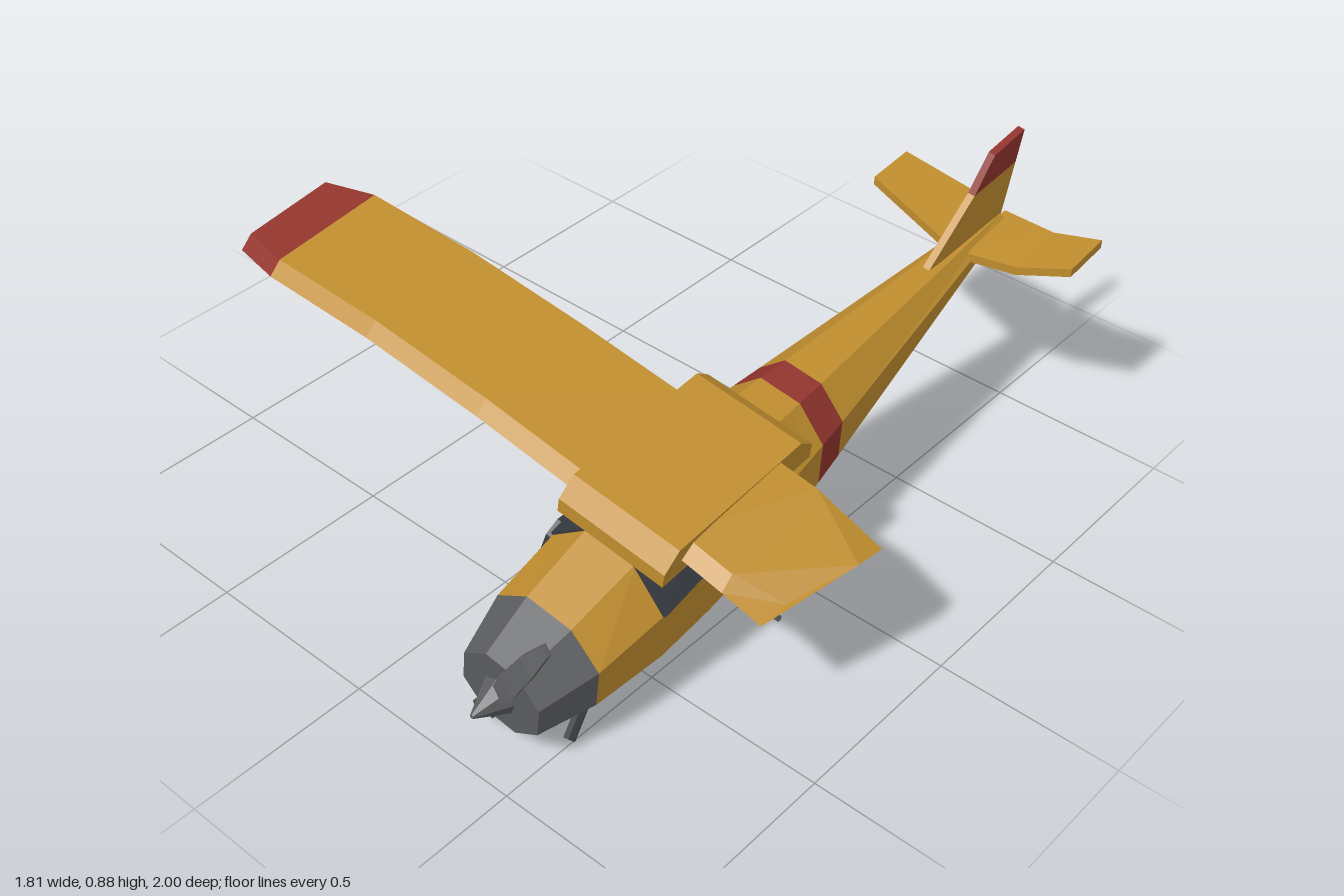
import * as THREE from 'three';

const mat = (name, color) => {
  const m = new THREE.MeshStandardMaterial({ color, flatShading: true });
  m.name = name;
  return m;
};
const V = (x, y, z) => new THREE.Vector3(x, y, z);

// Closed solid through rings; each ring runs counter-clockwise seen from the first end.
function loft(name, rings, material) {
  const pos = [];
  const tri = (...pts) => pts.forEach((p) => pos.push(p.x, p.y, p.z));
  const n = rings[0].length;
  for (let r = 0; r < rings.length - 1; r++) {
    const a = rings[r], b = rings[r + 1];
    for (let i = 0; i < n; i++) {
      const j = (i + 1) % n;
      tri(a[i], b[i], b[j]);
      tri(a[i], b[j], a[j]);
    }
  }
  const first = rings[0], last = rings[rings.length - 1];
  for (let i = 1; i < n - 1; i++) {
    tri(first[0], first[i], first[i + 1]);
    tri(last[0], last[i + 1], last[i]);
  }
  const g = new THREE.BufferGeometry();
  g.setAttribute('position', new THREE.Float32BufferAttribute(pos, 3));
  g.computeVertexNormals();
  const m = new THREE.Mesh(g, material);
  m.name = name;
  return m;
}

// Straight rod between two points
function rod(name, a, b, radius, material, sides = 6, endRadius = radius) {
  const d = b.clone().sub(a);
  const m = new THREE.Mesh(new THREE.CylinderGeometry(endRadius, radius, d.length(), sides), material);
  m.position.copy(a).add(b).multiplyScalar(0.5);
  m.quaternion.setFromUnitVectors(V(0, 1, 0), d.normalize());
  m.name = name;
  return m;
}

// Fuselage stations: z, half width, top, bottom
const STATIONS = [
  [0.91, 0.118, 0.30, 0.10], [0.76, 0.16, 0.365, 0.095], [0.55, 0.175, 0.44, 0.08],
  [0.38, 0.173, 0.50, 0.09], [0.13, 0.163, 0.535, 0.14], [-0.06, 0.143, 0.545, 0.215],
  [-0.15, 0.132, 0.55, 0.25], [-0.97, 0.026, 0.615, 0.572],
];
const CX = 0.405, CY = 0.3;

// Eight-sided fuselage ring at a given z, leaning with the pitch towards the tail
function ring(z) {
  let i = 0;
  while (i < STATIONS.length - 2 && z < STATIONS[i + 1][0]) i++;
  const a = STATIONS[i], b = STATIONS[i + 1];
  const k = (z - a[0]) / (b[0] - a[0]);
  const [w, top, bot] = [1, 2, 3].map((c) => a[c] + (b[c] - a[c]) * k);
  const mid = (top + bot) / 2, s = (top - bot) * 0.22, t = w * 0.43;
  return [[w, mid - s], [w, mid + s], [t, top], [-t, top], [-w, mid + s], [-w, mid - s], [-t, bot], [t, bot]]
    .map(([x, y]) => V(x, y - CY, z + (y - mid) * (0.13 - 0.1 * z)));
}

// Wing section with a sloping leading face: x, leading z, bottom y, trailing z, top y
const wingRing = ([x, zf, bottom, zb, top]) => [
  V(x, bottom, zf), V(x, top - 0.03, zb), V(x, top, zb), V(x, bottom + 0.034, zf - 0.035),
];
// Thin tailplane section: x, leading z and y, trailing z and y
const tailRing = ([x, zf, yf, zb, yb]) => [
  V(x, yf - 0.012, zf), V(x, yb - 0.012, zb), V(x, yb + 0.012, zb), V(x, yf + 0.012, zf),
];

export function createModel() {
  const yellow = mat('yellow paint', 0xbe8c2e);
  const red = mat('red paint', 0x91342d);
  const grey = mat('grey metal', 0x5a5b5d);
  const dark = mat('dark rubber and glass', 0x36393f);
  const model = new THREE.Group();
  model.name = 'wreckedPlane';

  // Leaning body
  const body = new THREE.Group();
  body.name = 'body';
  body.position.set(CX, CY, 0);
  body.rotation.set(0, 0.012, -0.137);
  model.add(body);
  const hull = (name, zs, m) => body.add(loft(name, zs.map(ring), m));
  hull('engineCowl', [0.91, 0.76], grey);
  hull('cabin', [0.76, 0.55, 0.38, 0.13, -0.06], yellow);
  hull('fuselageBand', [-0.06, -0.15], red);
  hull('tailBoom', [-0.15, -0.97], yellow);

  // Side windows on the upper chamfers
  for (const i of [1, 3]) {
    const o = V(i === 1 ? 0.006 : -0.006, 0.004, 0);
    const plate = [0.56, 0.55, 0.38, 0.16].map((z) => {
      const p = ring(z);
      return [p[i], p[i].clone().add(o), p[i + 1].clone().add(o), p[i + 1]];
    });
    body.add(loft(i === 1 ? 'leftWindow' : 'rightWindow', plate, dark));
  }

  // Wing centre section
  const centre = [0.168, -0.157].map((x) => [
    [0.58, 0.445], [0.05, 0.5], [0.05, 0.545], [0.1, 0.58], [0.535, 0.535], [0.58, 0.485],
  ].map(([z, y]) => V(x, y - CY, z)));
  body.add(loft('wingCentre', centre, yellow));

  // Fin with red tip
  const fin = (name, pts, m) => {
    const s = new THREE.Shape(pts.map(([z, y]) => new THREE.Vector2(-z, y - CY)));
    const g = new THREE.ExtrudeGeometry(s, { depth: 0.02, bevelEnabled: false });
    g.translate(0, 0, -0.01).rotateY(Math.PI / 2);
    const f = new THREE.Mesh(g, m);
    f.name = name;
    body.add(f);
  };
  fin('fin', [[-0.64, 0.595], [-0.97, 0.59], [-0.97, 0.785], [-0.785, 0.765]], yellow);
  fin('finTip', [[-0.785, 0.765], [-0.97, 0.785], [-0.97, 0.89], [-0.84, 0.87]], red);

  // Tailplane, bent upward on the left
  model.add(loft('leftTailplane', [
    [0.745, -0.845, 0.615, -0.985, 0.635], [0.6, -0.815, 0.57, -0.99, 0.592], [0.44, -0.78, 0.568, -1.0, 0.588],
  ].map(tailRing), yellow));
  model.add(loft('rightTailplane', [
    [0.41, -0.78, 0.575, -1.0, 0.597], [0.115, -0.845, 0.63, -0.99, 0.645],
  ].map(tailRing), yellow));

  // Intact right wing
  const tip = [-0.755, 0.555, 0.633, 0.19, 0.705];
  model.add(loft('rightWing', [
    [0.3, 0.545, 0.515, 0.175, 0.59], [-0.02, 0.548, 0.567, 0.18, 0.64], [-0.4, 0.552, 0.614, 0.185, 0.686], tip,
  ].map(wingRing), yellow));
  model.add(loft('rightWingTip', [tip, [-0.905, 0.525, 0.631, 0.23, 0.7]].map(wingRing), red));

  // Broken left wing, folded down beyond the break
  const torn = [V(0.83, 0.402, 0.51), V(0.905, 0.445, 0.165), V(0.905, 0.458, 0.255), V(0.838, 0.418, 0.43)];
  const fold = wingRing([0.72, 0.515, 0.437, 0.175, 0.527]);
  model.add(loft('brokenLeftWing', [torn, fold, wingRing([0.57, 0.52, 0.477, 0.175, 0.55])], yellow));

  // Wing struts
  model.add(rod('rightStrut', V(0.26, 0.25, 0.32), V(-0.2, 0.595, 0.36), 0.009, grey));
  model.add(rod('brokenLeftStrut', V(0.54, 0.2, 0.305), V(0.76, 0.265, 0.35), 0.009, grey));

  // Landing gear
  model.add(rod('rightGearLeg', V(0.3, 0.21, 0.4), V(0.13, 0.168, 0.4), 0.013, yellow));
  model.add(rod('rightWheel', V(0.159, 0.161, 0.4), V(0.107, 0.169, 0.4), 0.075, dark, 10));
  model.add(rod('brokenGearLeg', V(0.488, 0.105, 0.715), V(0.508, 0.035, 0.8), 0.016, dark));

  // Spinner and bent propeller
  model.add(rod('propellerShaft', V(0.405, 0.2, 0.88), V(0.4, 0.2, 0.93), 0.035, grey, 8));
  model.add(rod('spinner', V(0.4, 0.2, 0.915), V(0.4, 0.195, 1.0), 0.052, grey, 8, 0.006));
  const blade = (name, pts) => {
    const dir = pts[pts.length - 1].clone().sub(pts[0]).setZ(0).normalize();
    const side = V(-dir.y, dir.x, -0.25);
    const widths = [0.016, 0.03, 0.027, 0.014];
    const rings = pts.map((p, i) => [[1, 1], [1, -1], [-1, -1], [-1, 1]].map(([u, v]) =>
      p.clone().addScaledVector(side, u * widths[i]).add(V(0, 0, v * 0.007))));
    model.add(loft(name, rings, grey));
  };
  blade('upperBlade', [V(0.4, 0.2, 0.935), V(0.445, 0.27, 0.925), V(0.49, 0.345, 0.905), V(0.525, 0.4, 0.88)]);
  blade('lowerBlade', [V(0.4, 0.2, 0.935), V(0.36, 0.135, 0.92), V(0.32, 0.07, 0.885), V(0.29, 0.012, 0.84)]);

  return model;
}
